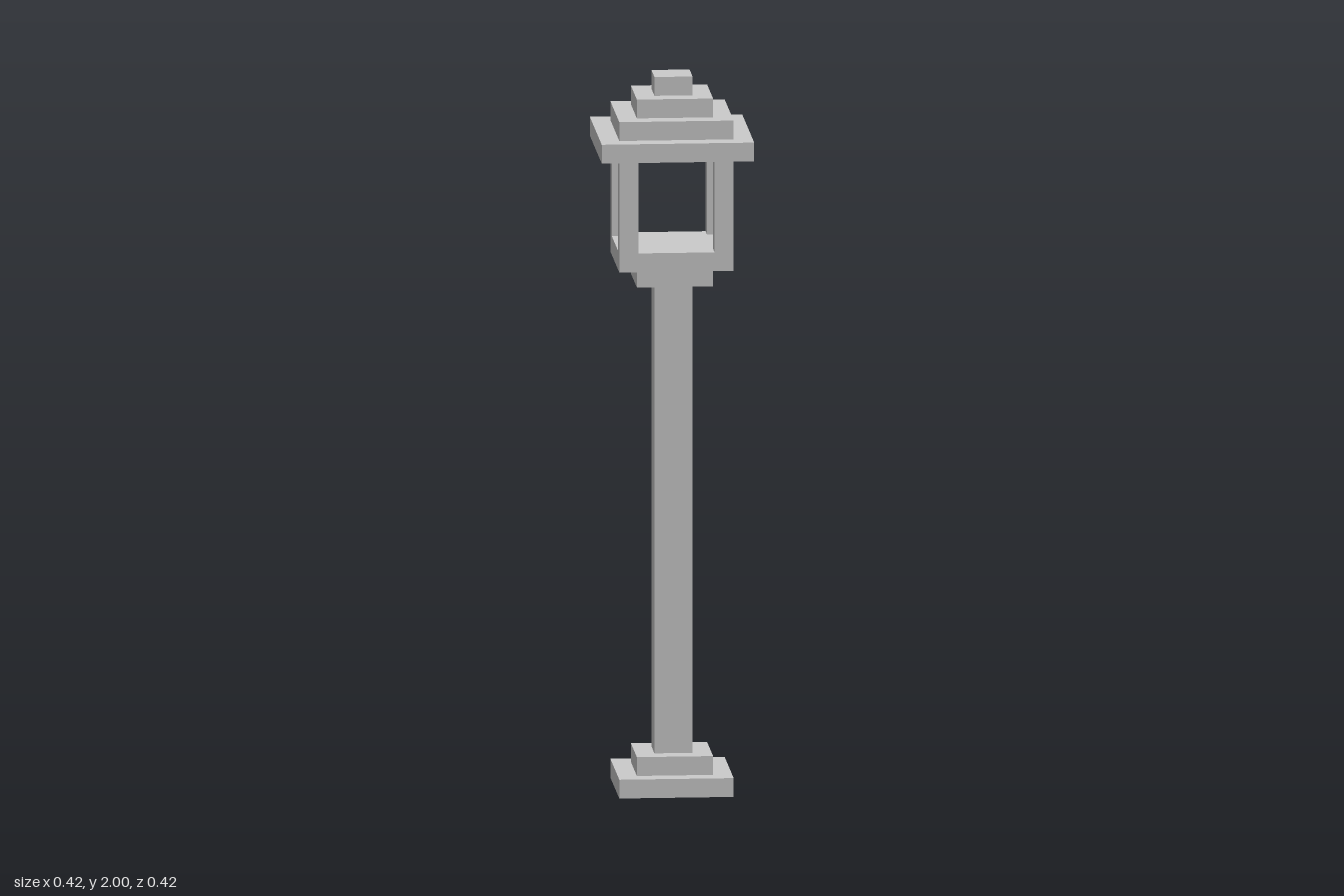
import * as THREE from 'three';

// The lamp post is built on a grid of blocks, 38 blocks tall.
const U = 2 / 38;

export function createModel() {
  const group = new THREE.Group();
  const material = new THREE.MeshStandardMaterial({ color: 0xcccccc, flatShading: true });

  // Square block: width and bottom/top heights in grid units, centred on x, z.
  function block(name, width, bottom, top, x = 0, z = 0) {
    const geometry = new THREE.BoxGeometry(width * U, (top - bottom) * U, width * U);
    const mesh = new THREE.Mesh(geometry, material);
    mesh.name = name;
    mesh.position.set(x * U, ((bottom + top) / 2) * U, z * U);
    group.add(mesh);
  }

  // Stepped foot and column
  block('basePlinth', 6, 0, 1);
  block('baseStep', 4, 1, 2);
  block('column', 2, 2, 27);

  // Lantern collar and floor
  block('lanternCollar', 4, 27, 28);
  block('lanternFloor', 6, 28, 29);

  // Four corner posts of the open lantern
  for (const x of [-2.5, 2.5]) {
    for (const z of [-2.5, 2.5]) {
      block(`${z > 0 ? 'front' : 'back'}${x > 0 ? 'Left' : 'Right'}Post`, 1, 29, 34, x, z);
    }
  }

  // Stepped pyramid roof
  [8, 6, 4, 2].forEach((width, i) => block(`roofTier${i + 1}`, width, 34 + i, 35 + i));

  return group;
}
